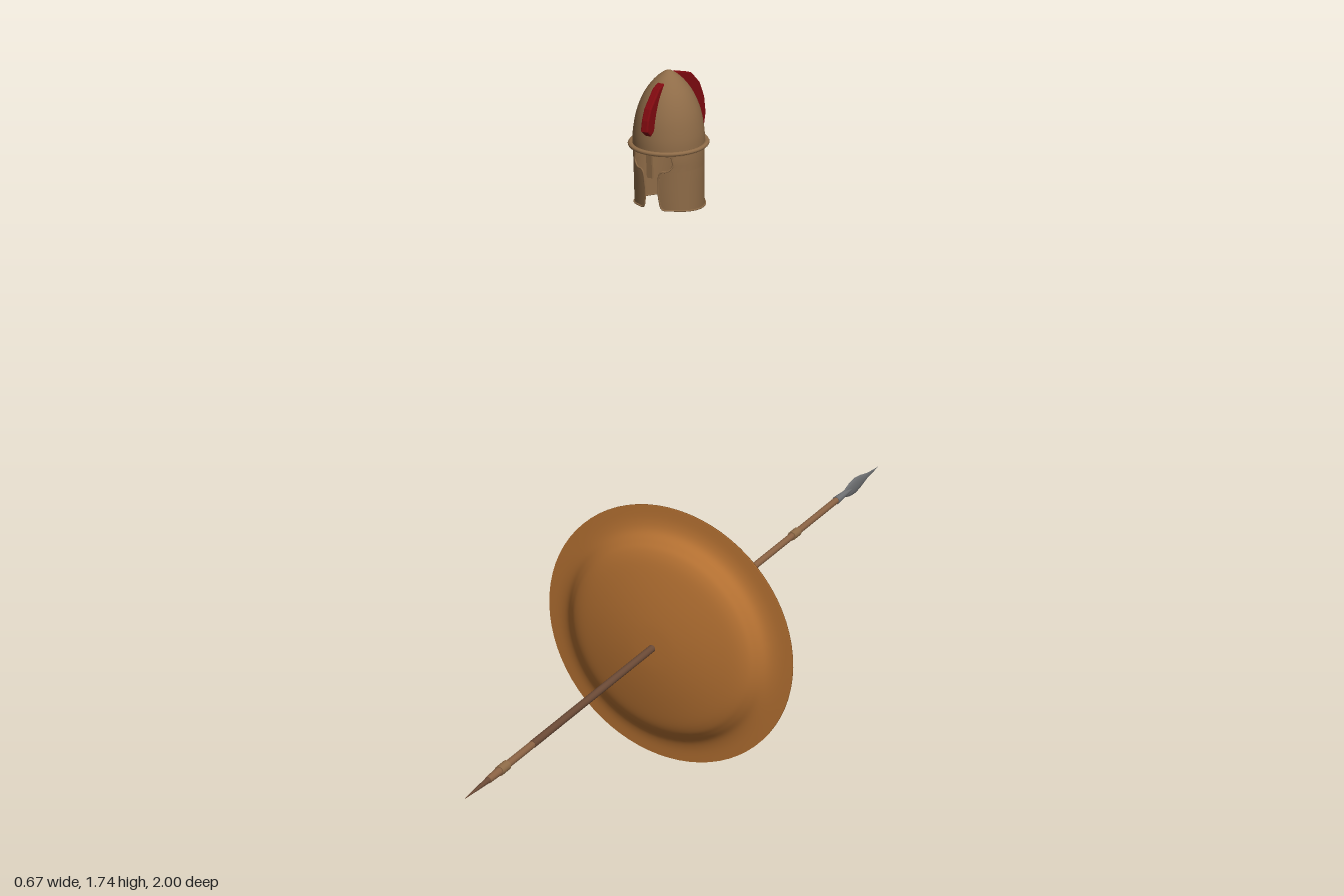
import * as THREE from 'three';

const mat = (name, color, side = THREE.FrontSide) => {
  const m = new THREE.MeshStandardMaterial({ color, side });
  m.name = name;
  return m;
};

export function createModel() {
  const M = {
    helmet: mat('dull bronze', 0x8f6c48, THREE.DoubleSide),
    copper: mat('shield copper', 0xb87333),
    lining: mat('dark leather', 0x4a2626),
    crest: mat('red hair', 0x800a10),
    wood: mat('spear wood', 0x8b6344),
    wrap: mat('dark wrap', 0x6b4a36),
    steel: mat('steel', 0x707274),
  };
  const model = new THREE.Group();
  const CY = 0.337, HZ = 0.113;

  const add = (name, geo, material, parent = model) => {
    const mesh = new THREE.Mesh(geo, material);
    mesh.name = name;
    parent.add(mesh);
    return mesh;
  };
  const group = (name) => {
    const g = new THREE.Group();
    g.name = name;
    model.add(g);
    return g;
  };
  const v2 = (pts) => pts.map(([a, b]) => new THREE.Vector2(a, b));
  // Flat plate in the z-y plane, centred on x = 0
  const sidePlate = (pts, width, bevel = 0) => {
    const g = new THREE.ExtrudeGeometry(new THREE.Shape(v2(pts)), {
      depth: width, bevelEnabled: bevel > 0, bevelSize: bevel, bevelOffset: -bevel, bevelThickness: bevel, bevelSegments: 2,
    });
    return g.translate(0, 0, -width / 2).rotateY(-Math.PI / 2);
  };
  // Tapered rod along z
  const rod = (z0, z1, r0, r1) => new THREE.CylinderGeometry(r1, r0, z1 - z0, 16)
    .rotateX(Math.PI / 2).translate(0, CY, (z0 + z1) / 2);
  // Profile revolved about the z axis through the shield centre
  const disc = (pts) => new THREE.LatheGeometry(v2(pts), 72).rotateX(Math.PI / 2).translate(0, CY, 0);

  // ---- Helmet ----
  const helmet = group('helmet');
  const dome = new THREE.LatheGeometry(new THREE.SplineCurve(v2([
    [0.08, 1.57], [0.079, 1.60], [0.071, 1.645], [0.055, 1.686], [0.033, 1.717], [0.012, 1.735], [0, 1.74],
  ])).getPoints(24), 40).scale(1, 1, 1.06).translate(0, 0, HZ);
  add('helmetDome', dome, M.helmet, helmet);
  add('helmetBrim', new THREE.TorusGeometry(0.084, 0.006, 8, 48).rotateX(Math.PI / 2)
    .scale(1, 0.8, 1.07).translate(0, 1.572, HZ), M.helmet, helmet);

  // Lower wall: each row starts at the edge of the face opening and runs to the back
  const rows = [[0, 0.1], [0.06, 0.1], [0.07, 0.62], [0.22, 0.66], [0.32, 0.5], [0.34, 0.3], [0.6, 0.22], [0.85, 0.24], [1, 0.32]];
  const wallPoint = (theta, v, out = 0) => {
    const back = (1 - Math.cos(theta)) / 2;
    const bottom = 1.438 - 0.021 * back;
    const front = Math.max(0, Math.cos(theta)), rear = Math.max(0, -Math.cos(theta));
    const flare = 1 - 0.12 * v * front + 0.2 * rear * v * v * v;
    return new THREE.Vector3(
      (0.079 + out) * Math.sin(theta) * (1 - 0.03 * v),
      1.572 + (bottom - 1.572) * v,
      HZ + (0.084 + out) * Math.cos(theta) * flare);
  };
  for (const s of [1, -1]) {
    const n = 28;
    const wall = new THREE.PlaneGeometry(1, 1, n, rows.length - 1);
    const p = wall.attributes.position;
    rows.forEach(([v, edge], j) => {
      for (let i = 0; i <= n; i++) {
        const q = wallPoint(edge + (Math.PI - edge) * i / n, v);
        p.setXYZ(j * (n + 1) + i, s * q.x, q.y, q.z);
      }
    });
    if (s < 0) wall.setIndex(Array.from(wall.index.array).reverse());
    wall.computeVertexNormals();
    add(s > 0 ? 'leftHelmetWall' : 'rightHelmetWall', wall, M.helmet, helmet);
    // Raised border along the face opening and lower edge
    const border = rows.slice(2).map(([v, e]) => wallPoint(e, v, 0.001));
    for (let i = 1; i <= 10; i++) border.push(wallPoint(0.32 + (Math.PI - 0.32) * i / 10, 1, 0.001));
    border.forEach((q) => { q.x *= s; });
    add('helmetBorder', new THREE.TubeGeometry(new THREE.CatmullRomCurve3(border, false, 'centripetal'), 60, 0.002, 6), M.helmet, helmet);
  }
  // Nose guard
  add('noseGuard', new THREE.BoxGeometry(0.014, 0.055, 0.006).rotateX(0.06).translate(0, 1.54, HZ + 0.084), M.helmet, helmet);

  // Crest
  add('crest', sidePlate([
    [0.222, 1.626], [0.217, 1.65], [0.206, 1.674], [0.168, 1.711], [0.115, 1.728], [0.078, 1.728], [0.024, 1.711],
    [-0.013, 1.679], [-0.034, 1.64], [-0.041, 1.60], [-0.03, 1.556], [-0.013, 1.545], [0.015, 1.56],
    [0.032, 1.60], [0.05, 1.66], [0.113, 1.70], [0.17, 1.66], [0.19, 1.62], [0.205, 1.612],
  ], 0.012, 0.003), M.crest, helmet);

  // ---- Shield ----
  const shield = group('shield');
  const outer = new THREE.SplineCurve(v2([
    [0.335, 0.122], [0.30, 0.125], [0.275, 0.133], [0.255, 0.15], [0.235, 0.165], [0.20, 0.177], [0.13, 0.19], [0.06, 0.198], [0, 0.2],
  ])).getPoints(40);
  add('shieldFace', disc(outer.map((p) => [p.x, p.y])), M.copper, shield);
  add('shieldRim', disc([[0.268, 0.118], [0.335, 0.118], [0.335, 0.122]]), M.copper, shield);
  const bowl = [[0, 0.188], [0.06, 0.186], [0.13, 0.178], [0.2, 0.165], [0.235, 0.15], [0.268, 0.118]];
  add('shieldLining', disc(bowl), M.lining, shield);

  // Crescent backing laid over the lining, notched at the top
  const bowlZ = (r) => {
    const i = Math.max(1, bowl.findIndex(([br]) => br >= r));
    const [[r0, z0], [r1, z1]] = [bowl[i - 1], bowl[i]];
    return z0 + (z1 - z0) * (r - r0) / (r1 - r0);
  };
  const backing = new THREE.PlaneGeometry(1, 1, 72, 10);
  const bp = backing.attributes.position;
  for (let k = 0; k < bp.count; k++) {
    const a = (bp.getX(k) + 0.5) * Math.PI * 2; // measured from the top
    const off = Math.min(a, Math.PI * 2 - a);
    const reach = THREE.MathUtils.lerp(0.035, 0.21, THREE.MathUtils.smoothstep(off, 0.45, 1.1));
    const r = (bp.getY(k) + 0.5) * reach;
    bp.setXYZ(k, Math.sin(a) * r, CY + Math.cos(a) * r, bowlZ(r) - 0.005);
  }
  backing.computeVertexNormals();
  add('shieldBacking', backing, M.helmet, shield);

  // Arm band and hand cord
  add('armBandPlate', new THREE.CylinderGeometry(0.032, 0.032, 0.006, 24).rotateX(Math.PI / 2)
    .scale(1, 1.5, 1).translate(0, CY + 0.065, 0.172), M.copper, shield);
  add('armBand', new THREE.CylinderGeometry(0.04, 0.04, 0.05, 24, 1, false, Math.PI / 2, Math.PI)
    .scale(1, 1, 0.9).translate(0, CY - 0.005, 0.175), M.lining, shield);
  add('handCord', new THREE.TorusGeometry(0.035, 0.005, 8, 20, Math.PI).rotateZ(Math.PI / 2)
    .rotateY(-Math.PI / 2).translate(-0.205, CY, 0.158), M.lining, shield);

  // ---- Spear ----
  const spear = group('spear');
  add('shaft', rod(-0.76, 0.84, 0.0085, 0.0085), M.wood, spear);
  for (const [z0, z1] of [[-0.23, 0.02], [0.2, 0.73]]) add('shaftWrap', rod(z0, z1, 0.009, 0.009), M.wrap, spear);
  for (const z of [-0.52, 0.85]) add('collar', rod(z - 0.016, z + 0.016, 0.0115, 0.0115), M.helmet, spear);
  add('buttSocket', rod(0.84, 0.91, 0.0105, 0.008), M.wood, spear);
  add('buttSpike', rod(0.91, 1, 0.007, 0.0008), M.wrap, spear);
  add('headSocket', rod(-0.83, -0.75, 0.006, 0.0105), M.steel, spear);
  const leaf = [[0, 0], [0.003, 0.03], [0.008, 0.07], [0.018, 0.11], [0.0225, 0.14], [0.02, 0.17], [0.011, 0.2], [0.005, 0.22]];
  add('spearHead', new THREE.LatheGeometry(v2(leaf), 16).scale(0.28, 1, 1)
    .rotateX(Math.PI / 2).translate(0, CY, -1), M.steel, spear);

  // ---- Curved sword behind the shield ----
  const sword = group('sword');
  add('swordBlade', sidePlate([
    [0.04, 0.349], [-0.07, 0.358], [-0.16, 0.358], [-0.22, 0.352], [-0.265, 0.332], [-0.286, 0.305], [-0.28, 0.289],
    [-0.245, 0.293], [-0.205, 0.30], [-0.11, 0.316], [-0.02, 0.331], [0.04, 0.333],
  ], 0.008), M.steel, sword);
  add('swordGrip', rod(0.04, 0.11, 0.012, 0.01), M.lining, sword);
  add('swordGuard', new THREE.BoxGeometry(0.022, 0.082, 0.01).translate(0, 0.326, 0.107), M.lining, sword);
  add('swordCollar', rod(0.035, 0.05, 0.014, 0.014), M.copper, sword);

  return model;
}
